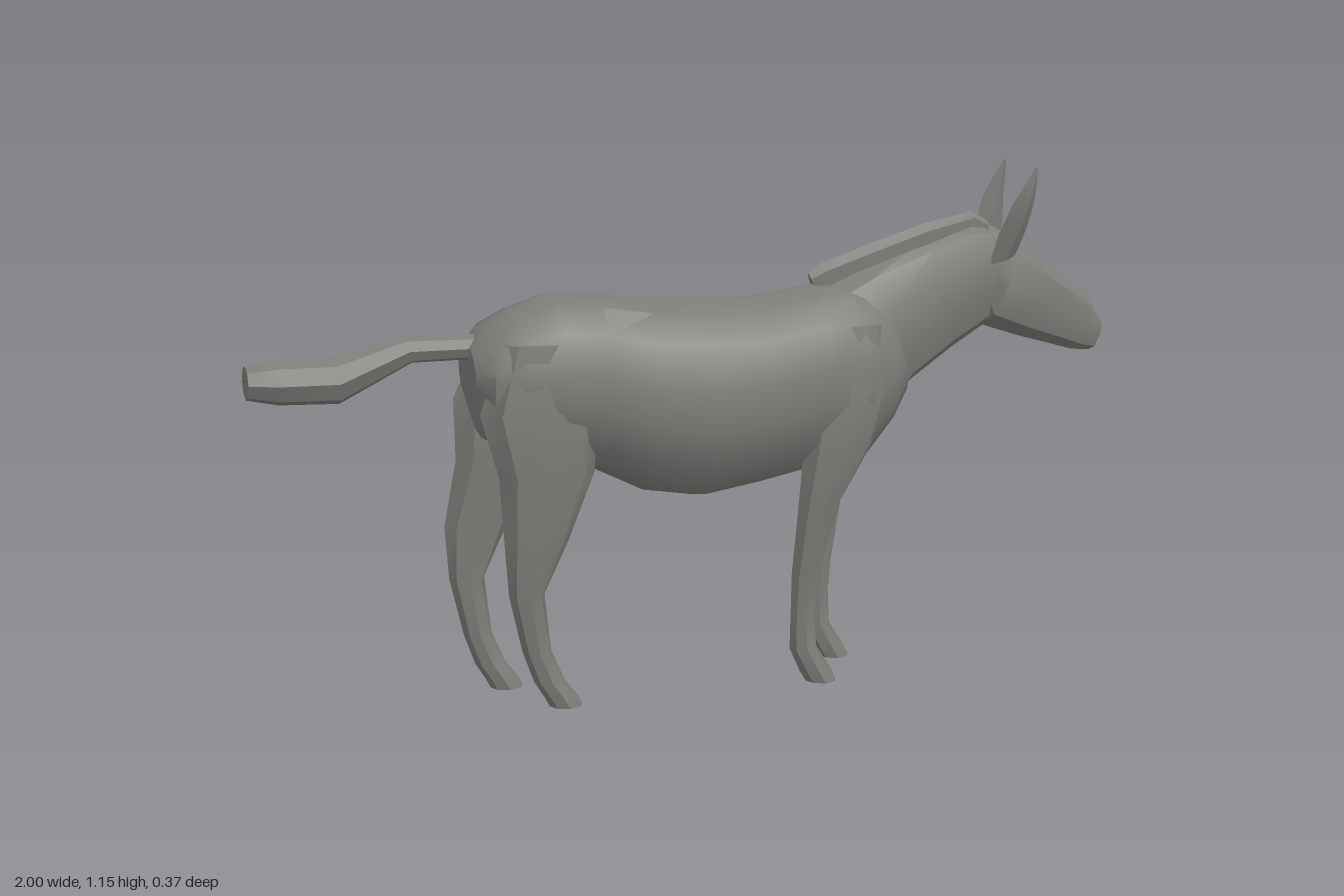
import * as THREE from 'three';
import { toCreasedNormals } from 'three/addons/utils/BufferGeometryUtils.js';

// Closed skin over rings. Each ring: [x1, y1, x2, y2, half width, centre z],
// where the two points are its ends in side profile.
function loft(rings, sides, fullness = 1) {
  const pos = [], index = [];
  for (const [x1, y1, x2, y2, w, z = 0] of rings) {
    for (let i = 0; i < sides; i++) {
      const a = (i / sides) * Math.PI * 2, c = Math.cos(a) / 2, s = Math.sin(a);
      pos.push((x1 + x2) / 2 + (x1 - x2) * c, (y1 + y2) / 2 + (y1 - y2) * c,
        z + w * Math.sign(s) * Math.abs(s) ** fullness);
    }
  }
  const n = rings.length;
  for (let r = 0; r < n - 1; r++) {
    for (let i = 0; i < sides; i++) {
      const a = r * sides + i, b = r * sides + (i + 1) % sides;
      index.push(a, b, a + sides, b, b + sides, a + sides);
    }
  }
  // End caps
  for (let i = 1; i < sides - 1; i++) {
    const e = (n - 1) * sides;
    index.push(0, i + 1, i, e, e + i, e + i + 1);
  }
  // Turn the faces outward if the signed volume is negative
  const p = i => new THREE.Vector3().fromArray(pos, index[i] * 3);
  let volume = 0;
  for (let i = 0; i < index.length; i += 3) volume += p(i).dot(p(i + 1).cross(p(i + 2)));
  if (volume < 0) index.reverse();
  const g = new THREE.BufferGeometry();
  g.setAttribute('position', new THREE.Float32BufferAttribute(pos, 3));
  g.setIndex(index);
  return toCreasedNormals(g, 0.6);
}

export function createModel() {
  const model = new THREE.Group();
  const coat = new THREE.MeshStandardMaterial({ color: 0x7c7c78 });
  coat.name = 'grey coat';
  const add = (name, rings, sides, fullness) => {
    const mesh = new THREE.Mesh(loft(rings, sides, fullness), coat);
    mesh.name = name;
    model.add(mesh);
  };

  // Barrel, rump and chest
  add('body', [
    [-0.52, 0.81, -0.515, 0.68, 0.08],
    [-0.48, 0.855, -0.49, 0.6, 0.125],
    [-0.42, 0.885, -0.42, 0.56, 0.148],
    [-0.33, 0.915, -0.33, 0.53, 0.162],
    [-0.23, 0.905, -0.24, 0.515, 0.148],
    [-0.12, 0.89, -0.12, 0.455, 0.178],
    [0, 0.885, 0, 0.435, 0.188],
    [0.13, 0.88, 0.13, 0.455, 0.178],
    [0.27, 0.9, 0.27, 0.48, 0.158],
    [0.35, 0.9, 0.39, 0.5, 0.152],
    [0.4, 0.88, 0.46, 0.58, 0.125],
    [0.44, 0.85, 0.5, 0.645, 0.085],
  ], 14, 0.85);

  add('neck', [
    [0.28, 0.89, 0.45, 0.58, 0.11],
    [0.4, 0.94, 0.52, 0.665, 0.085],
    [0.55, 0.99, 0.62, 0.735, 0.066],
    [0.66, 1.025, 0.71, 0.79, 0.058],
    [0.72, 1.01, 0.75, 0.82, 0.05],
  ], 10);

  // Upright crest along the neck
  add('mane', [
    [0.27, 0.925, 0.29, 0.87, 0.012],
    [0.3, 0.945, 0.33, 0.88, 0.018],
    [0.42, 0.985, 0.45, 0.92, 0.02],
    [0.55, 1.025, 0.57, 0.96, 0.02],
    [0.665, 1.048, 0.68, 0.99, 0.018],
    [0.705, 1.025, 0.71, 0.98, 0.012],
  ], 6);

  add('head', [
    [0.7, 1.02, 0.68, 0.86, 0.04],
    [0.77, 0.985, 0.695, 0.785, 0.07],
    [0.84, 0.93, 0.79, 0.753, 0.068],
    [0.91, 0.878, 0.87, 0.73, 0.05],
    [0.965, 0.835, 0.925, 0.714, 0.044],
    [0.995, 0.785, 0.968, 0.71, 0.034],
  ], 8, 0.8);

  add('tail', [
    [-0.49, 0.83, -0.49, 0.775, 0.028],
    [-0.66, 0.835, -0.64, 0.775, 0.034],
    [-0.81, 0.798, -0.8, 0.695, 0.05],
    [-0.93, 0.8, -0.93, 0.7, 0.056],
    [-1, 0.79, -1, 0.715, 0.042],
  ], 8);

  for (const side of [1, -1]) {
    const name = side > 0 ? 'right' : 'left';
    const front = side > 0 ? 0 : 0.098, hind = side > 0 ? 0 : -0.09;
    const outward = rings => rings.map(r => [...r.slice(0, 5), r[5] * side]);

    add(name + 'Ear', outward([
      [0.69, 0.93, 0.755, 0.95, 0.018, 0.05],
      [0.705, 1.0, 0.773, 1.01, 0.033, 0.065],
      [0.73, 1.07, 0.782, 1.07, 0.03, 0.083],
      [0.765, 1.125, 0.788, 1.125, 0.015, 0.087],
      [0.784, 1.152, 0.788, 1.152, 0.004, 0.086],
    ]), 4);

    // Rings from shoulder to hoof; the stance offset fades out upward
    const leg = (part, offset, rings) => add(name + part, outward(rings.map(([a, b, y, w, z]) => {
      const d = offset * THREE.MathUtils.clamp((0.72 - y) / 0.35, 0, 1);
      return [a + d, y, b + d, y, w, z];
    })), 8);
    leg('FrontLeg', front, [
      [0.28, 0.41, 0.82, 0.03, 0.1],
      [0.24, 0.43, 0.68, 0.052, 0.105],
      [0.225, 0.39, 0.55, 0.05, 0.103],
      [0.217, 0.315, 0.42, 0.042, 0.095],
      [0.205, 0.268, 0.25, 0.034, 0.085],
      [0.203, 0.26, 0.16, 0.026, 0.085],
      [0.2, 0.265, 0.08, 0.028, 0.088],
      [0.225, 0.3, 0.025, 0.034, 0.088],
      [0.24, 0.312, 0, 0.034, 0.088],
    ]);
    leg('HindLeg', hind, [
      [-0.46, -0.28, 0.82, 0.04, 0.1],
      [-0.515, -0.25, 0.67, 0.065, 0.095],
      [-0.475, -0.26, 0.53, 0.055, 0.098],
      [-0.465, -0.32, 0.38, 0.04, 0.098],
      [-0.455, -0.375, 0.26, 0.032, 0.092],
      [-0.425, -0.36, 0.13, 0.026, 0.088],
      [-0.4, -0.33, 0.06, 0.028, 0.088],
      [-0.375, -0.3, 0.02, 0.034, 0.088],
      [-0.365, -0.29, 0, 0.034, 0.088],
    ]);
  }
  return model;
}
